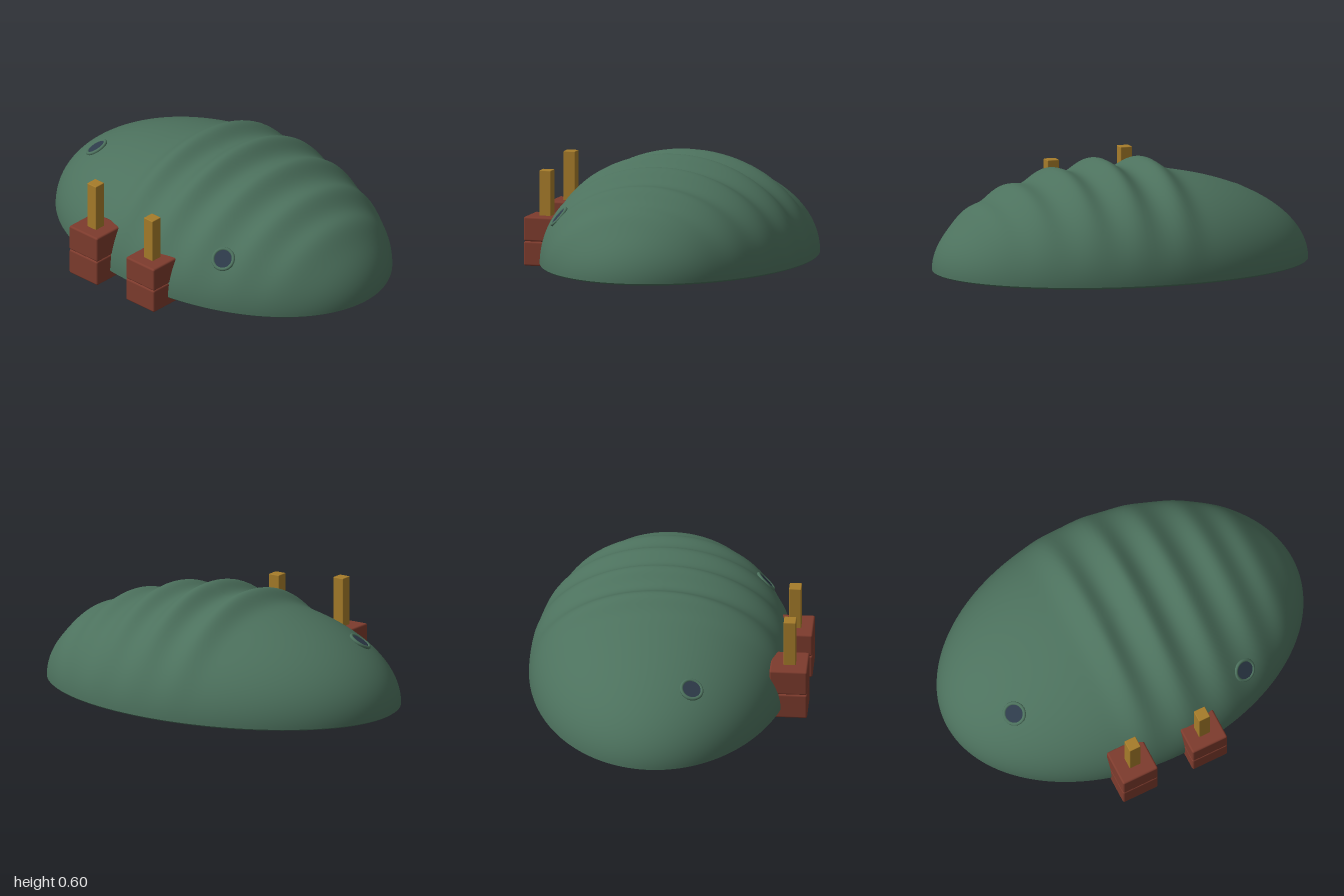
import * as THREE from 'three';
import { mergeVertices } from 'three/addons/utils/BufferGeometryUtils.js';
import { RoundedBoxGeometry } from 'three/addons/geometries/RoundedBoxGeometry.js';

const CZ = -0.045, HALF_Z = 0.685, RIM = 0.05, DOME = 0.49;
// ridge centre x and height
const RIDGES = [[-0.15, 0.058], [0.1, 0.062], [0.34, 0.053], [0.58, 0.046], [0.78, 0.04]];

const ridgeAt = x => RIDGES.reduce((s, [c, h]) => s + h * Math.exp(-(((x - c) / 0.075) ** 2)), 0);

// height of the dome surface over a point of the plan
function domeY(x, z) {
  const s = Math.sqrt(Math.max(0, 1 - x * x - ((z - CZ) / HALF_Z) ** 2));
  return RIM + DOME * s + ridgeAt(x) * s;
}

// half ellipsoid, upper one carries the ridges
function halfShell(upper) {
  let g = new THREE.SphereGeometry(1, 160, upper ? 64 : 12, 0, Math.PI * 2, upper ? 0 : Math.PI / 2, Math.PI / 2);
  const p = g.attributes.position;
  for (let i = 0; i < p.count; i++) {
    const x = p.getX(i), s = p.getY(i);
    const y = upper ? RIM + s * (DOME + ridgeAt(x)) : RIM + s * 0.046;
    p.setXYZ(i, x, y, p.getZ(i) * HALF_Z + CZ);
  }
  g.deleteAttribute('uv');
  g.deleteAttribute('normal');
  g = mergeVertices(g, 1e-5);
  g.computeVertexNormals();
  return g;
}

export function createModel() {
  const group = new THREE.Group();
  group.name = 'ridgedShellHouse';
  const mat = (name, color) => {
    const m = new THREE.MeshStandardMaterial({ color });
    m.name = name;
    return m;
  };
  const green = mat('shellGreen', 0x4c715d);
  const red = mat('brickRed', 0x7d3b2d);
  const gold = mat('ochre', 0xa67c2a);
  const slate = mat('slateGlass', 0x2e3b4a);
  const add = (name, geometry, material, parent = group) => {
    const m = new THREE.Mesh(geometry, material);
    m.name = name;
    parent.add(m);
    return m;
  };

  // shell
  add('shell', halfShell(true), green);
  add('shellBase', halfShell(false), green);

  // two stacked-block pedestals, each with a post
  for (const [x, top, postTop] of [[-0.27, 0.28, 0.535], [0.13, 0.255, 0.49]]) {
    const tower = new THREE.Group();
    tower.name = 'pedestal';
    group.add(tower);
    const h = top / 2;
    for (let k = 0; k < 2; k++) {
      add(k ? 'upperBlock' : 'lowerBlock', new RoundedBoxGeometry(0.2, h, 0.195, 3, 0.01), red, tower)
        .position.set(x, h * (k + 0.5), 0.63);
    }
    const len = postTop - top + 0.03;
    add('post', new RoundedBoxGeometry(0.063, len, 0.063, 2, 0.004), gold, tower)
      .position.set(x, postTop - len / 2, 0.633);
  }

  // round windows lying on the shell
  for (const [x, z] of [[-0.71, 0.155], [0.465, 0.455]]) {
    const y = domeY(x, z), e = 0.01;
    const normal = new THREE.Vector3(
      -(domeY(x + e, z) - domeY(x - e, z)) / (2 * e), 1,
      -(domeY(x, z + e) - domeY(x, z - e)) / (2 * e)).normalize();
    const port = new THREE.Group();
    port.name = 'porthole';
    port.position.set(x, y, z).addScaledVector(normal, 0.003);
    port.quaternion.setFromUnitVectors(new THREE.Vector3(0, 0, 1), normal);
    group.add(port);
    add('portholeRim', new THREE.TorusGeometry(0.054, 0.009, 10, 40), green, port);
    const glass = add('portholeGlass', new THREE.CylinderGeometry(0.05, 0.05, 0.009, 40), slate, port);
    glass.rotation.x = Math.PI / 2;
  }
  return group;
}
